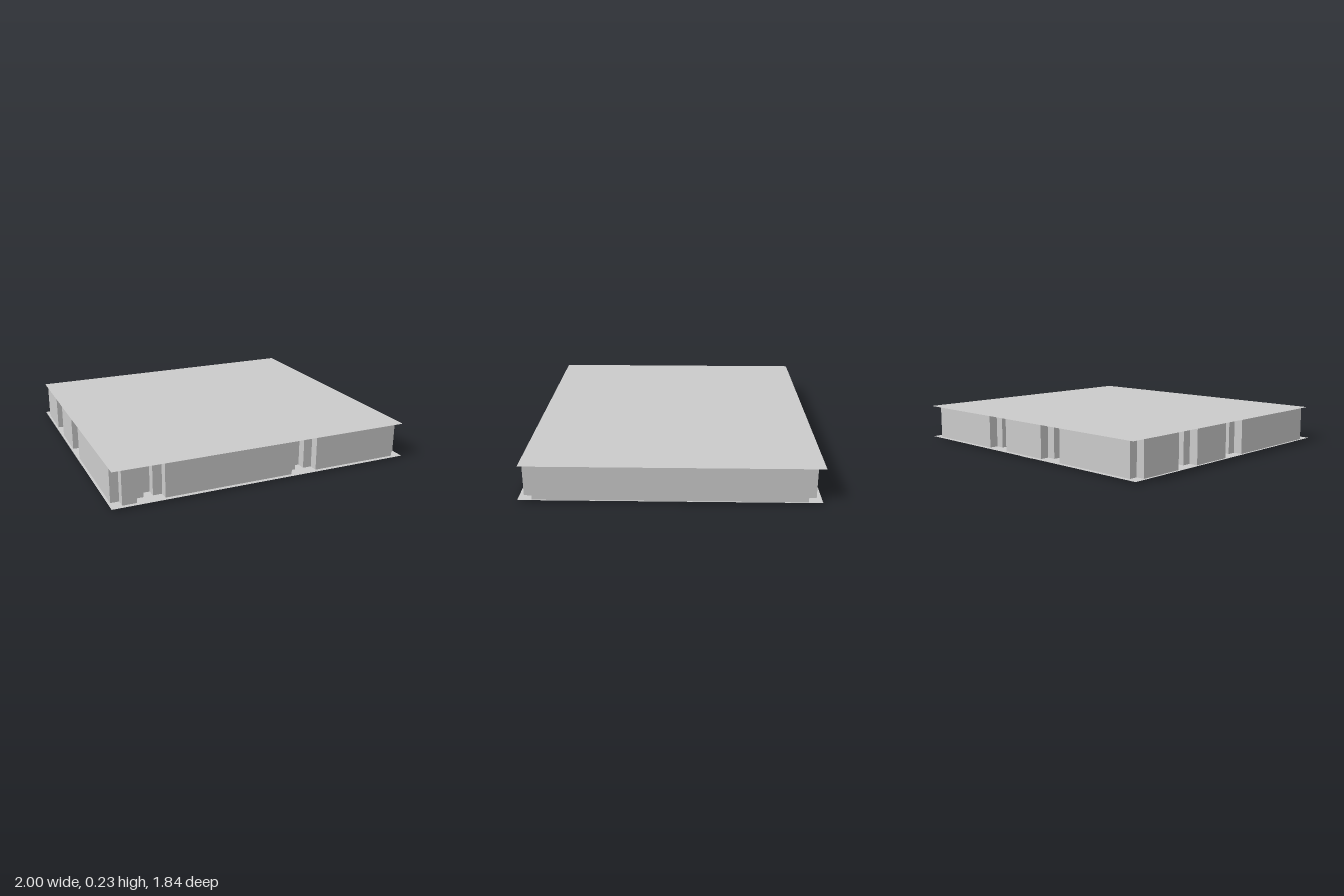
import * as THREE from 'three';

const FLOOR = 0.012, CEILING = 0.235, STEP = 0.058;

const material = new THREE.MeshStandardMaterial({
  color: 0xcccccc, flatShading: true, side: THREE.DoubleSide,
});

function addMesh(parent, name, geometry, x = 0, y = 0, z = 0) {
  const mesh = new THREE.Mesh(geometry, material);
  mesh.name = name;
  mesh.position.set(x, y, z);
  parent.add(mesh);
  return mesh;
}

// Thin horizontal slab surface
function addSlab(parent, name, x0, x1, z0, z1, y) {
  const geometry = new THREE.PlaneGeometry(x1 - x0, z1 - z0).rotateX(-Math.PI / 2);
  addMesh(parent, name, geometry, (x0 + x1) / 2, y, (z0 + z1) / 2);
}

// One side of the plan, interrupted by stepped recesses.
// Each recess starts at a distance along the side; it is three steps wide and two deep.
function sidePoints(start, end, recesses) {
  const a = new THREE.Vector2(...start), b = new THREE.Vector2(...end);
  const along = b.clone().sub(a).normalize();
  const inward = new THREE.Vector2(along.y, -along.x);
  const at = (s, depth) => a.clone().addScaledVector(along, s).addScaledVector(inward, depth);
  const points = [a];
  const profile = [[0, 0], [0, 1], [1, 1], [1, 2], [2, 2], [2, 1], [3, 1], [3, 0]];
  for (const s of recesses) {
    for (const [u, d] of profile) points.push(at(s + u * STEP, d * STEP));
  }
  points.push(b);
  return points;
}

// Upright wall following a closed plan outline
function wallGeometry(plan) {
  const positions = [];
  plan.forEach((p, i) => {
    const q = plan[(i + 1) % plan.length];
    positions.push(
      p.x, FLOOR, p.y, q.x, FLOOR, q.y, q.x, CEILING, q.y,
      p.x, FLOOR, p.y, q.x, CEILING, q.y, p.x, CEILING, p.y,
    );
  });
  const geometry = new THREE.BufferGeometry();
  geometry.setAttribute('position', new THREE.Float32BufferAttribute(positions, 3));
  geometry.computeVertexNormals();
  return geometry;
}

// Small U-shaped bracket under the floor
function addBracket(parent, x, z, turn) {
  const bracket = new THREE.Group();
  bracket.name = 'floorBracket';
  const h = FLOOR, t = 0.008;
  addMesh(bracket, 'bracketBar', new THREE.BoxGeometry(0.1, h, t), 0, h / 2, 0);
  for (const s of [-1, 1]) {
    addMesh(bracket, 'bracketLeg', new THREE.BoxGeometry(t, h, 0.026), s * 0.046, h / 2, 0.017);
  }
  bracket.position.set(x, 0, z);
  bracket.rotation.y = turn;
  parent.add(bracket);
}

export function createModel() {
  const model = new THREE.Group();
  model.name = 'room';

  // Ceiling and floor overhang the walls
  addSlab(model, 'ceiling', -0.988, 1, -0.922, 0.908, CEILING);
  addSlab(model, 'floor', -1, 1, -0.915, 0.922, FLOOR);

  // Walls: the four sides meet in notched corners
  const front = sidePoints([-0.93, 0.895], [0.938, 0.895], [0.09, 1.108]);
  const right = sidePoints([0.993, 0.835], [0.993, -0.83], []);
  const back = sidePoints([0.938, -0.885], [-0.93, -0.885], [0.587, 1.113]);
  const left = sidePoints([-0.984, -0.83], [-0.984, 0.835], [0.3, 0.76]);
  const plan = [
    ...front, new THREE.Vector2(0.938, 0.835),
    ...right, new THREE.Vector2(0.938, -0.83),
    ...back, new THREE.Vector2(-0.93, -0.83),
    ...left, new THREE.Vector2(-0.93, 0.835),
  ];
  addMesh(model, 'walls', wallGeometry(plan));

  // Brackets under the floor
  addBracket(model, -0.03, -0.88, 0);
  addBracket(model, 0.72, 0.03, -Math.PI / 2);
  addBracket(model, 0.32, 0.69, -Math.PI / 2);

  return model;
}
